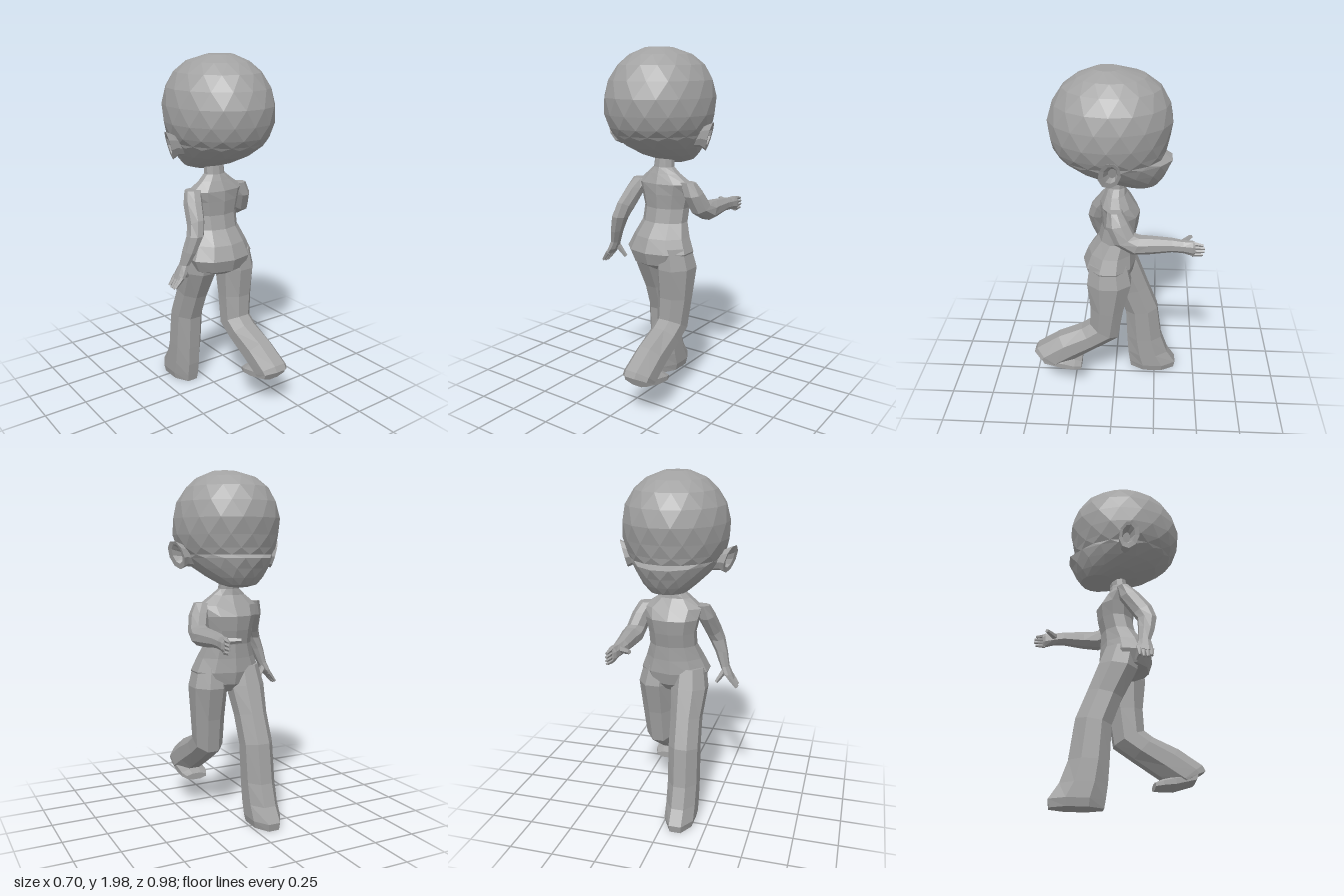
import * as THREE from 'three';

const grey = new THREE.MeshStandardMaterial({ color: 0xa2a2a2, flatShading: true });
grey.name = 'plain grey';

// Closed skin over elliptical rings [x, y, z, halfWidth, halfDepth, pitch].
// Pitch 0 lies flat with the rings running downward; -PI/2 runs toward -z.
function loft(rings, sides = 8, { stagger = 0, rule = null, flip = false } = {}) {
  const pos = [], index = [];
  rings.forEach(([x, y, z, a, b, p = 0], i) => {
    for (let k = 0; k < sides; k++) {
      const t = ((k + 0.5 + i * stagger) / sides) * Math.PI * 2;
      const v = b * Math.sin(t) * 1.03;
      pos.push(x + a * Math.cos(t) * 1.03, y + v * Math.sin(p), z + v * Math.cos(p));
    }
  });
  for (let i = 0; i < rings.length - 1; i++) {
    for (let k = 0; k < sides; k++) {
      const n = (k + 1) % sides;
      const A = i * sides + k, C = i * sides + n, B = A + sides, D = C + sides;
      index.push(A, C, B, C, D, B);
    }
  }
  // End caps
  const first = rings.length * sides, last = first + 1, e = first - sides;
  pos.push(...rings[0].slice(0, 3), ...rings[rings.length - 1].slice(0, 3));
  for (let k = 0; k < sides; k++) {
    const n = (k + 1) % sides;
    index.push(first, n, k, last, e + k, e + n);
  }
  if (rule) {
    const v = new THREE.Vector3();
    for (let i = 0; i < pos.length; i += 3) {
      rule(v.fromArray(pos, i));
      v.toArray(pos, i);
    }
  }
  if (flip) index.reverse();
  const g = new THREE.BufferGeometry();
  g.setAttribute('position', new THREE.Float32BufferAttribute(pos, 3));
  g.setIndex(index);
  g.computeVertexNormals();
  return g;
}

export function createModel() {
  const model = new THREE.Group();
  model.name = 'walkingFigure';
  const add = (name, geometry) => {
    const m = new THREE.Mesh(geometry, grey);
    m.name = name;
    model.add(m);
  };

  // Tapered digit between two points
  const digit = (name, from, to, r) => {
    const a = new THREE.Vector3(...from), b = new THREE.Vector3(...to);
    const d = b.clone().sub(a);
    const g = new THREE.CylinderGeometry(r * 0.55, r, d.length(), 5);
    g.applyQuaternion(new THREE.Quaternion().setFromUnitVectors(
      new THREE.Vector3(0, 1, 0), d.normalize()));
    g.translate(...a.add(b).multiplyScalar(0.5).toArray());
    add(name, g);
  };

  // Head: [height, face z, back z, half width], with a jutting lower face
  const headRings = [
    [1.992, -0.03, 0.11, 0.07], [1.955, -0.16, 0.2, 0.16], [1.9, -0.235, 0.27, 0.22],
    [1.82, -0.28, 0.32, 0.268], [1.73, -0.3, 0.35, 0.287], [1.64, -0.285, 0.345, 0.287],
    [1.57, -0.27, 0.325, 0.268], [1.533, -0.26, 0.3, 0.248], [1.515, -0.262, 0.285, 0.24],
    [1.46, -0.258, 0.21, 0.2], [1.41, -0.25, 0.1, 0.15], [1.37, -0.235, -0.03, 0.1],
    [1.355, -0.18, -0.08, 0.05],
  ].map(([y, f, b, w]) => [0.01, y, (f + b) / 2, w, (b - f) / 2]);
  add('head', loft(headRings, 16, {
    stagger: 0.5,
    rule: (v) => {
      if (v.z < -0.1 && v.y < 1.525 && v.y > 1.4) {
        v.z -= 0.048 * Math.max(0, 1 - ((v.x - 0.01) / 0.19) ** 2) * (v.y - 1.37) / 0.145;
      }
    },
  }));

  // Ears: hollow cups leaning outward at the top
  for (const s of [1, -1]) {
    add(s > 0 ? 'leftEar' : 'rightEar', loft([
      [1.51, -0.21, -0.005, 0.045, 0.03], [1.53, -0.27, 0.005, 0.06, 0.045, -0.2],
      [1.53, -0.308, 0.012, 0.076, 0.06, -0.35], [1.535, -0.304, 0.008, 0.052, 0.038, -0.35],
      [1.53, -0.27, 0, 0.03, 0.022, -0.2],
    ], 9, {
      flip: s < 0,
      rule: (v) => {
        const height = v.x, out = -v.y;
        v.set(0.01 + s * (out + (height - 1.53) * 0.3), height, v.z);
      },
    }));
  }

  // Neck, chest, waist and hips
  add('torso', loft([
    [0.01, 1.42, -0.02, 0.055, 0.05], [0.01, 1.34, -0.01, 0.06, 0.05],
    [0.012, 1.305, -0.005, 0.1, 0.06], [0.018, 1.25, -0.01, 0.172, 0.088],
    [0.018, 1.19, -0.03, 0.155, 0.108], [0.018, 1.11, -0.028, 0.135, 0.1],
    [0.017, 1.03, -0.01, 0.135, 0.1], [0.015, 0.95, 0.02, 0.165, 0.13],
    [0.013, 0.87, 0.033, 0.2, 0.148], [0.016, 0.8, 0.03, 0.17, 0.13],
    [0.02, 0.755, 0.01, 0.07, 0.07],
  ], 10));

  // Left leg, bent and trailing behind
  add('leftLeg', loft([
    [0.11, 0.9, 0.035, 0.09, 0.11], [0.125, 0.78, 0.028, 0.106, 0.132],
    [0.122, 0.6, 0.042, 0.095, 0.1, 0.1], [0.115, 0.44, 0.06, 0.086, 0.1, 0.5],
    [0.115, 0.385, 0.14, 0.086, 0.088, 0.85], [0.12, 0.31, 0.28, 0.086, 0.1, 0.95],
    [0.125, 0.24, 0.39, 0.088, 0.105, 0.65], [0.125, 0.225, 0.405, 0.085, 0.098, 0.5],
  ]));
  add('leftFoot', loft([
    [0.125, 0.225, 0.43, 0.078, 0.035, -1.9], [0.125, 0.2, 0.31, 0.085, 0.042, -1.6],
    [0.125, 0.188, 0.24, 0.084, 0.03, -1.57], [0.125, 0.18, 0.2, 0.066, 0.02, -1.57],
  ]));

  // Right leg, planted in front with a flared end
  add('rightLeg', loft([
    [-0.08, 0.9, 0, 0.09, 0.1], [-0.085, 0.78, -0.03, 0.106, 0.112, -0.1],
    [-0.085, 0.62, -0.1, 0.09, 0.1, -0.2], [-0.09, 0.46, -0.16, 0.09, 0.102, -0.15],
    [-0.092, 0.25, -0.18, 0.09, 0.112], [-0.092, 0.13, -0.205, 0.09, 0.13],
    [-0.092, 0.05, -0.237, 0.09, 0.152], [-0.092, 0.008, -0.237, 0.08, 0.145],
  ]));

  // Left arm, forearm held out level
  add('leftArm', loft([
    [0.17, 1.265, -0.005, 0.05, 0.04], [0.2, 1.2, -0.02, 0.055, 0.062, -0.2],
    [0.222, 1.12, -0.06, 0.055, 0.062, -0.5], [0.23, 1.09, -0.125, 0.06, 0.056, -1.2],
    [0.228, 1.09, -0.2, 0.05, 0.05, -1.57], [0.222, 1.09, -0.32, 0.04, 0.038, -1.57],
    [0.228, 1.085, -0.38, 0.03, 0.036, -1.57], [0.235, 1.08, -0.43, 0.026, 0.044, -1.57],
    [0.238, 1.078, -0.445, 0.018, 0.04, -1.57],
  ]));

  // Right arm, hanging slightly back and outward
  add('rightArm', loft([
    [-0.14, 1.265, 0, 0.05, 0.04], [-0.163, 1.2, 0.03, 0.05, 0.058, 0.3],
    [-0.19, 1.1, 0.098, 0.045, 0.06, 0.5], [-0.21, 1.04, 0.12, 0.045, 0.055, 0.1],
    [-0.24, 0.96, 0.11, 0.036, 0.046, -0.2], [-0.265, 0.88, 0.095, 0.026, 0.035],
    [-0.285, 0.835, 0.092, 0.026, 0.045], [-0.305, 0.805, 0.092, 0.018, 0.045],
  ]));

  // Fingers and thumbs
  for (let i = 0; i < 4; i++) {
    const short = Math.abs(i - 1.5) * 0.008;
    digit('leftFinger', [0.237, 1.11 - i * 0.022, -0.43],
      [0.243, 1.103 - i * 0.019, -0.5 + short], 0.014);
    digit('rightFinger', [-0.3, 0.815, 0.058 + i * 0.023],
      [-0.342, 0.748 + short, 0.058 + i * 0.021], 0.014);
  }
  digit('leftThumb', [0.225, 1.09, -0.36], [0.14, 1.1, -0.425], 0.022);
  digit('rightThumb', [-0.27, 0.86, 0.08], [-0.222, 0.785, 0.055], 0.02);

  return model;
}
